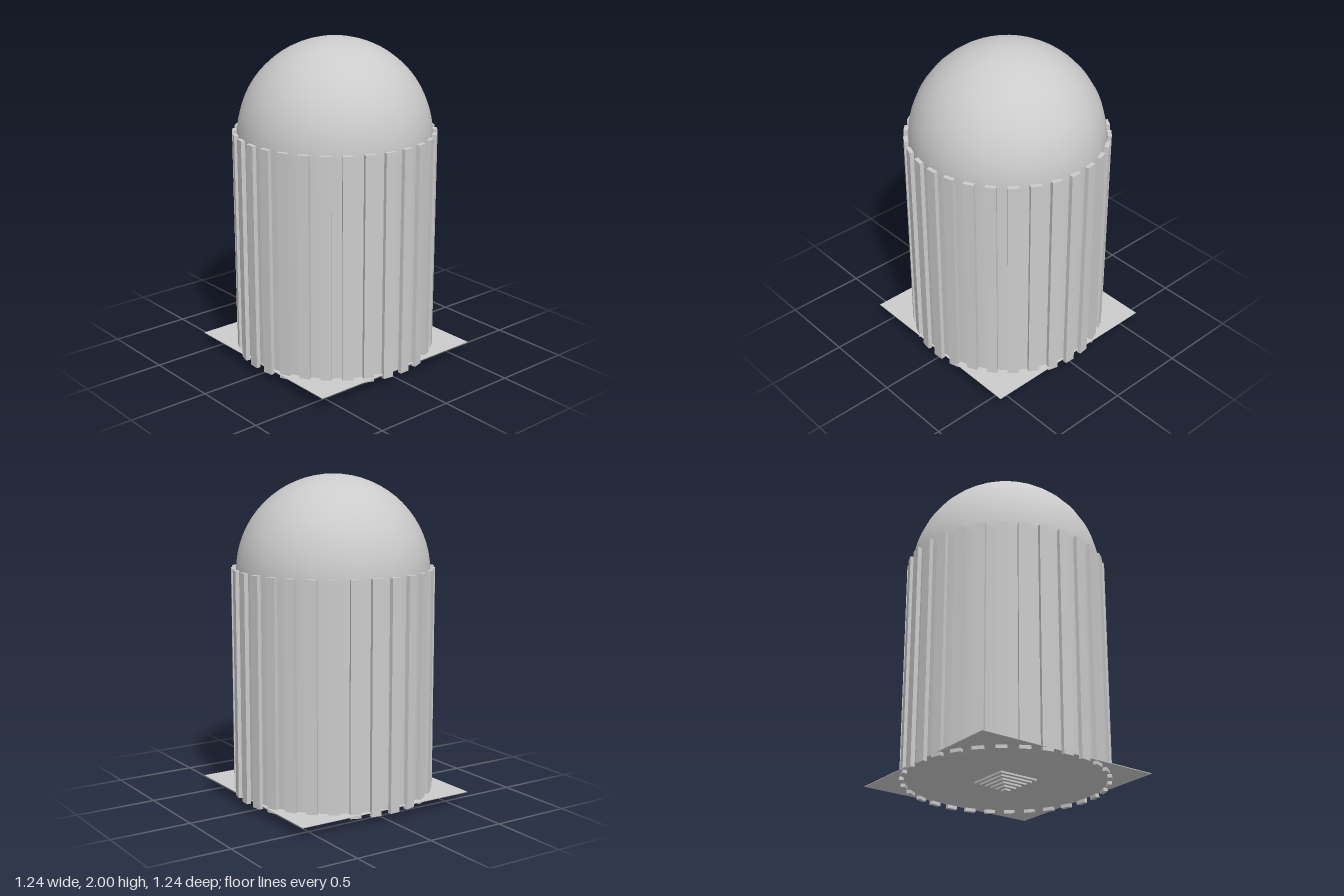
import * as THREE from 'three';

export function createModel() {
  const group = new THREE.Group();
  const material = new THREE.MeshStandardMaterial({ color: 0xcccccc, side: THREE.DoubleSide });
  const radius = 0.59, plateY = 0.068, domeY = 1.41;

  function add(name, geometry, x, y, z, parent = group) {
    const mesh = new THREE.Mesh(geometry, material);
    mesh.name = name;
    mesh.position.set(x, y, z);
    parent.add(mesh);
    return mesh;
  }

  // Smooth hemispherical dome
  add('dome', new THREE.SphereGeometry(radius, 32, 16, 0, Math.PI * 2, 0, Math.PI / 2), 0, domeY, 0);

  // Cylindrical wall behind the slats
  const wallHeight = domeY - plateY;
  add('wall', new THREE.CylinderGeometry(radius, radius, wallHeight, 32, 1, true), 0, plateY + wallHeight / 2, 0);

  // Ring of upright slats
  const slats = new THREE.Group();
  slats.name = 'slats';
  group.add(slats);
  const count = 30, bottom = 0.045, top = 1.44;
  const slatGeometry = new THREE.BoxGeometry(0.065, top - bottom, 0.026);
  for (let i = 0; i < count; i++) {
    const angle = THREE.MathUtils.degToRad(3) + (i / count) * Math.PI * 2;
    const slat = add('slat', slatGeometry,
      Math.sin(angle) * 0.604, (top + bottom) / 2, Math.cos(angle) * 0.604, slats);
    slat.rotation.y = angle;
  }

  // Thin square base plate
  add('basePlate', new THREE.BoxGeometry(1.19, 0.004, 1.19), 0, plateY, 0);

  // Stepped square boss under the plate, narrowing downwards
  const boss = new THREE.Group();
  boss.name = 'steppedBoss';
  group.add(boss);
  const steps = 6, stepHeight = (plateY - 0.002) / steps;
  for (let i = 0; i < steps; i++) {
    const size = 0.26 - i * 0.044;
    add('bossStep', new THREE.BoxGeometry(size, stepHeight, size),
      0, plateY - 0.002 - (i + 0.5) * stepHeight, 0, boss);
  }

  return group;
}
